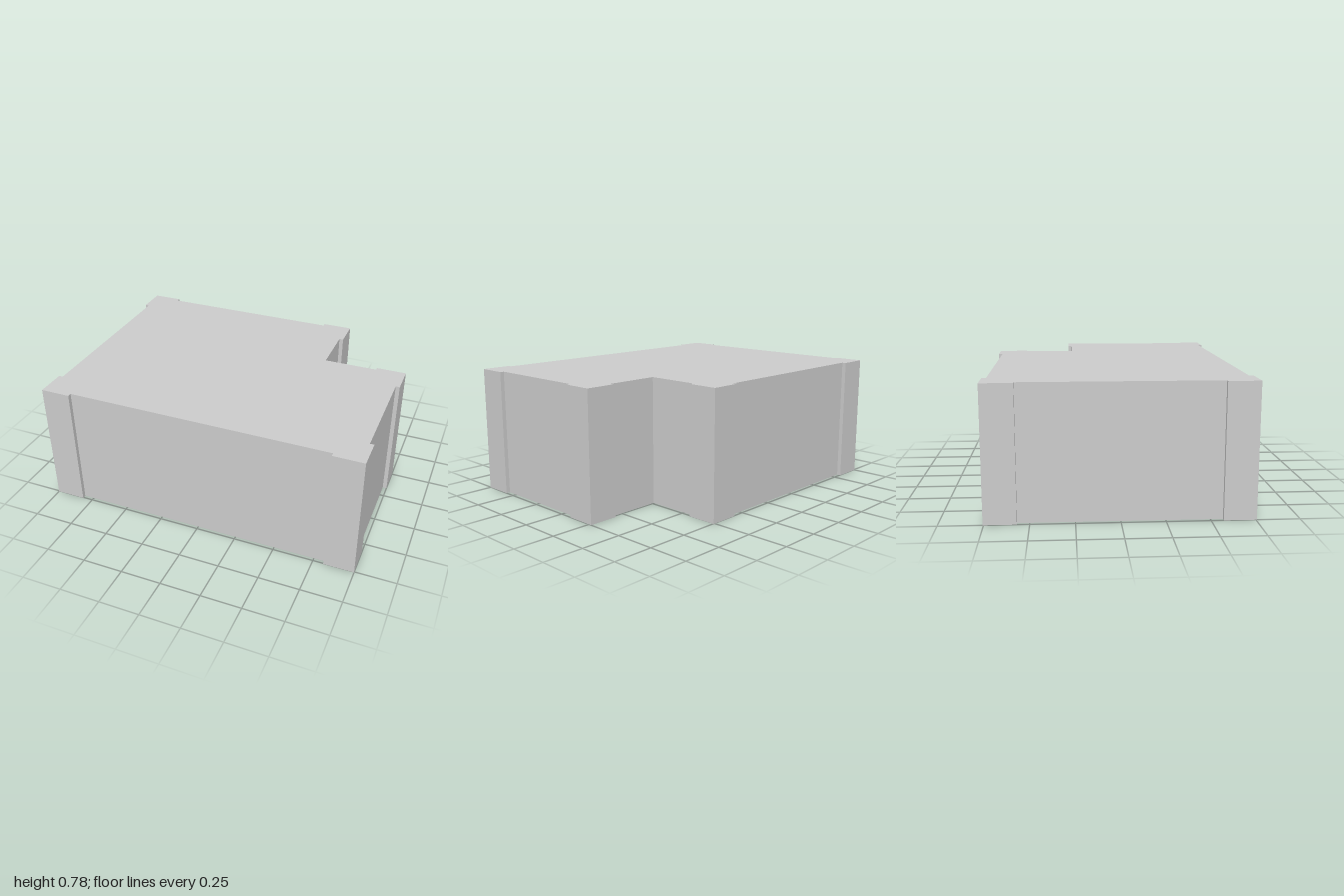
import * as THREE from 'three';

const HEIGHT = 0.78;

// Floor plan as [x, z] corners: an L-shaped block with slightly proud corner piers
const PLAN = [
  // back wall
  [-1, -0.755], [-0.815, -0.755], [-0.815, -0.73], [0.325, -0.73], [0.325, -0.755], [0.51, -0.755],
  // notch at the back left corner
  [0.51, -0.57], [0.485, -0.57], [0.485, -0.245], [0.815, -0.245], [0.815, -0.268], [1, -0.268],
  // left wall
  [1, -0.085], [0.975, -0.085], [0.975, 0.57], [1, 0.57], [1, 0.755],
  // front wall
  [0.815, 0.755], [0.815, 0.73], [-0.815, 0.73], [-0.815, 0.755], [-1, 0.755],
  // right wall
  [-1, 0.57], [-0.975, 0.57], [-0.975, -0.57], [-1, -0.57],
];

export function createModel() {
  const group = new THREE.Group();
  group.name = 'building';

  // Plan drawn with y = -z, extruded and laid flat so it rises along +y
  const shape = new THREE.Shape(PLAN.map(([x, z]) => new THREE.Vector2(x, -z)));
  const geometry = new THREE.ExtrudeGeometry(shape, { depth: HEIGHT, bevelEnabled: false });
  geometry.rotateX(-Math.PI / 2);

  const block = new THREE.Mesh(
    geometry,
    new THREE.MeshStandardMaterial({ color: 0xcccccc, flatShading: true }),
  );
  block.name = 'wallBlockWithCornerPiers';
  group.add(block);

  return group;
}
